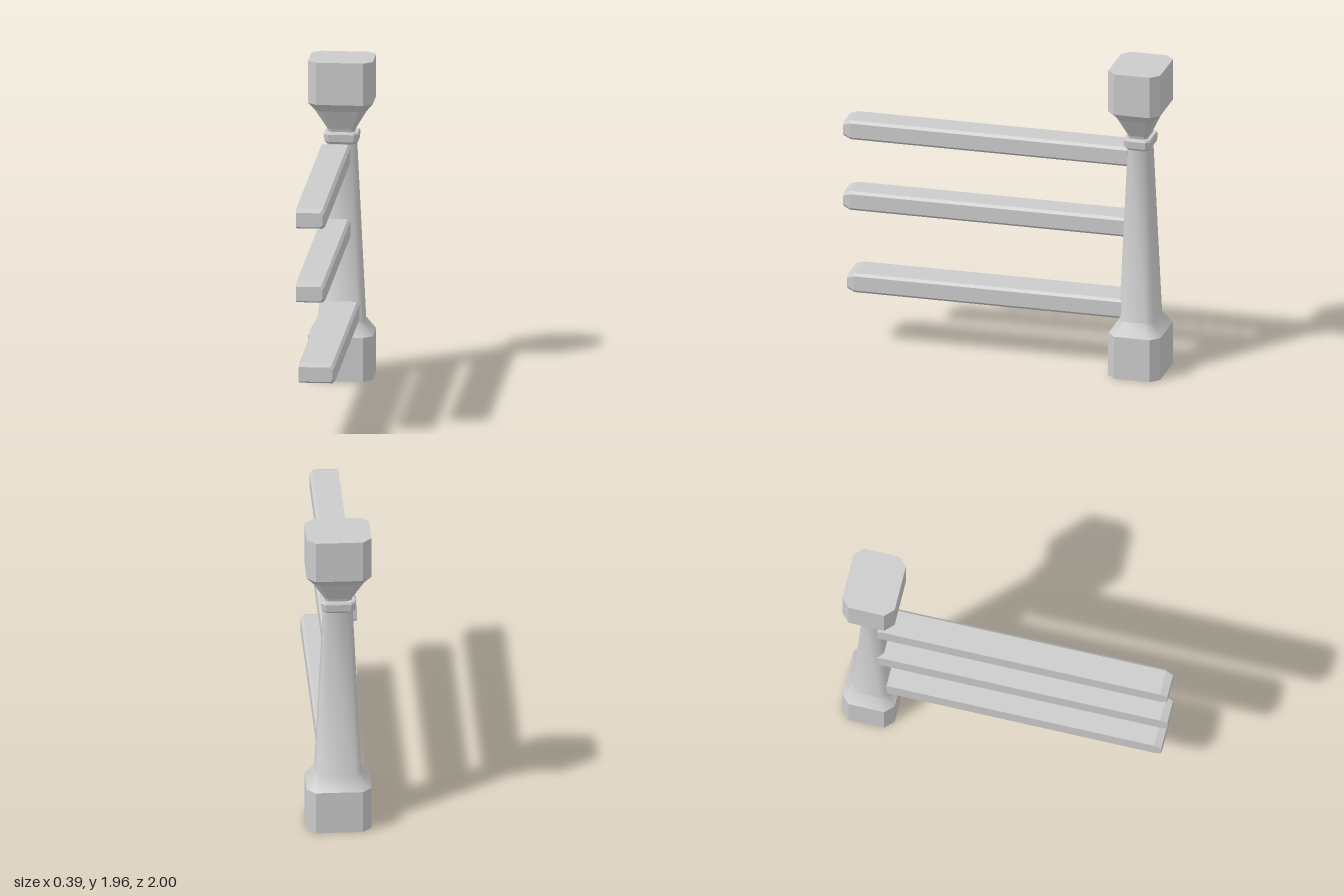
import * as THREE from 'three';
import { toCreasedNormals } from 'three/addons/utils/BufferGeometryUtils.js';

const POST_Z = -0.838;

// Chamfered rectangle: half width, half depth, corner cuts
const octagon = (w, d, cx, cz) => [
  [w, d - cz], [w - cx, d], [-w + cx, d], [-w, d - cz],
  [-w, -d + cz], [-w + cx, -d], [w - cx, -d], [w, -d + cz],
];

// Skin a stack of rings of [x, y, z] points and close both ends
function loft(rings, crease) {
  const pos = [];
  const tri = (a, b, c) => pos.push(...a, ...b, ...c);
  const n = rings[0].length;
  for (let r = 0; r < rings.length - 1; r++) {
    for (let i = 0; i < n; i++) {
      const j = (i + 1) % n;
      const [a, b, c, d] = [rings[r][i], rings[r][j], rings[r + 1][j], rings[r + 1][i]];
      tri(a, c, b);
      tri(a, d, c);
    }
  }
  const first = rings[0], last = rings[rings.length - 1];
  for (let i = 1; i < n - 1; i++) {
    tri(first[0], first[i], first[i + 1]);
    tri(last[0], last[i + 1], last[i]);
  }
  const geo = new THREE.BufferGeometry();
  geo.setAttribute('position', new THREE.Float32BufferAttribute(pos, 3));
  return toCreasedNormals(geo, crease);
}

export function createModel() {
  const model = new THREE.Group();
  const material = new THREE.MeshStandardMaterial({ color: 0xcccccc });
  const add = (name, geo) => {
    const mesh = new THREE.Mesh(geo, material);
    mesh.name = name;
    model.add(mesh);
    return mesh;
  };

  // Post pieces: levels of [y, half width, half depth]
  const postPiece = (name, levels, crease = 0.1) => {
    const rings = levels.map(([y, w, d]) =>
      octagon(w, d, w * 0.27, d * 0.32).map(([x, z]) => [x, y, z]));
    add(name, loft(rings, crease)).position.set(-0.002, 0, POST_Z);
  };
  postPiece('postBase', [[0, 0.195, 0.162], [0.27, 0.195, 0.162]]);
  postPiece('postShaft', [[0.27, 0.195, 0.162], [0.35, 0.138, 0.106], [1.46, 0.086, 0.062]], 0.95);
  postPiece('postCollar', [[1.44, 0.088, 0.07], [1.455, 0.101, 0.082], [1.5, 0.106, 0.086], [1.512, 0.1, 0.08]]);
  postPiece('postCapital', [[1.5, 0.076, 0.056], [1.53, 0.084, 0.064], [1.65, 0.155, 0.118], [1.7, 0.195, 0.162]]);
  postPiece('postHead', [[1.7, 0.195, 0.162], [1.96, 0.195, 0.162]]);

  // Rails: bevelled along the left side and at both ends
  const rail = (name, x0, x1, y0, y1, z0, z1) => {
    const section = (z, s) => {
      const right = x1 - s * 0.7, low = y0 + s, high = y1 - s, c = 0.016;
      return [
        [x0, low, z], [x0, high, z], [right - c, high, z],
        [right, high - c, z], [right, low + c, z], [right - c, low, z],
      ];
    };
    const rings = [section(z0, 0.015), section(z0 + 0.02, 0), section(z1 - 0.045, 0), section(z1, 0.017)];
    // Slight sideways drift along the length
    for (const p of rings.flat()) p[0] += 0.006 * (p[2] - 1);
    add(name, loft(rings, 0.1));
  };
  rail('topRail', -0.108, 0.066, 1.315, 1.437, -0.79, 1);
  rail('middleRail', -0.108, 0.066, 0.86, 0.982, -0.79, 1);
  rail('bottomRail', -0.094, 0.122, 0.355, 0.478, -0.79, 0.96);

  return model;
}
